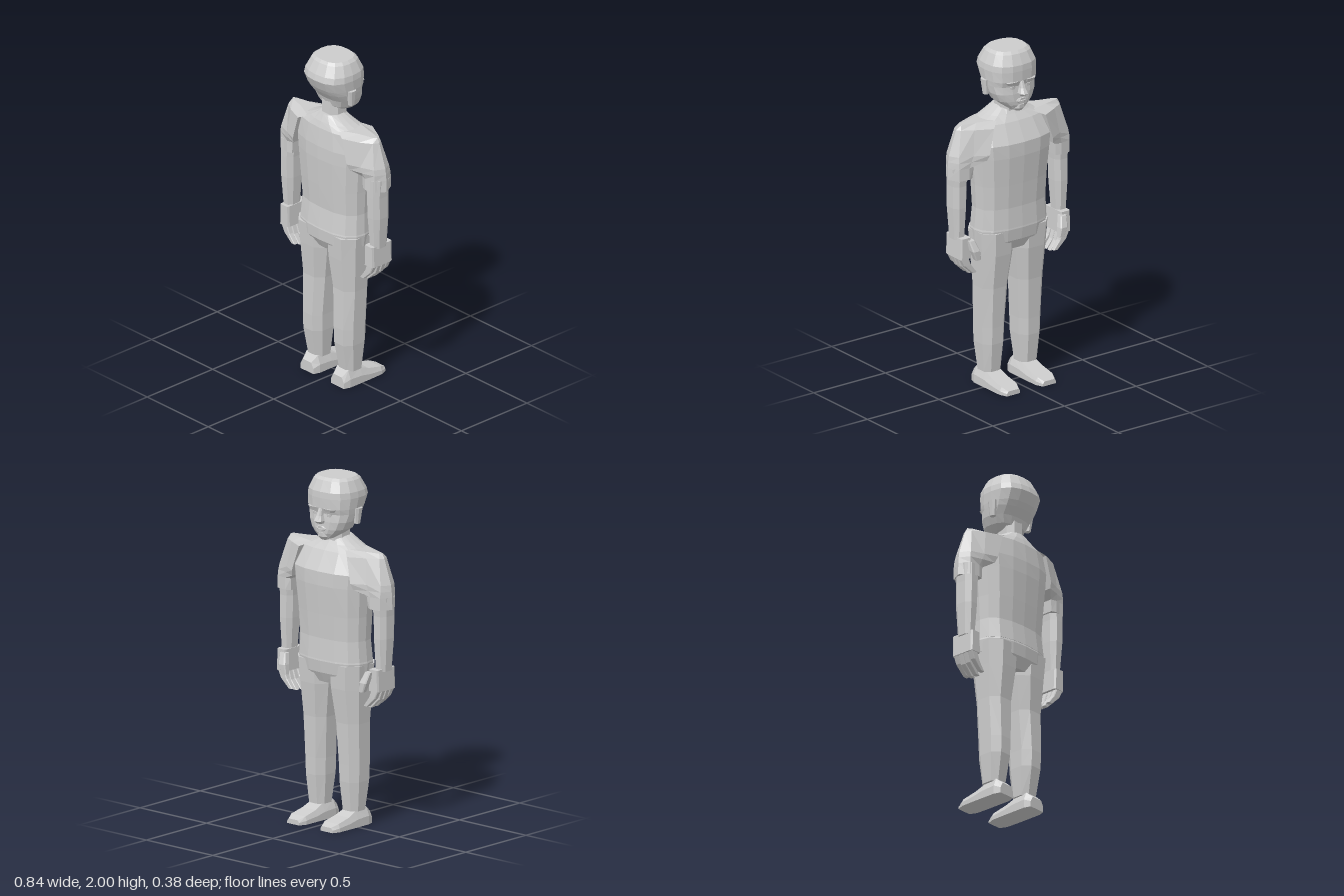
import * as THREE from 'three';

const grey = new THREE.MeshStandardMaterial({ color: 0xcccccc, flatShading: true });
grey.name = 'plain grey';

// Skin a stack of equal-length rings of [x, y, z], capped at both ends.
function loft(name, rings, mirror = 1) {
  const n = rings[0].length, tris = [];
  const mid = r => [0, 1, 2].map(k => r.reduce((s, p) => s + p[k], 0) / n);
  const first = rings[0], last = rings[rings.length - 1], a = mid(first), b = mid(last);
  for (let i = 0; i < n; i++) {
    const j = (i + 1) % n;
    for (let r = 0; r + 1 < rings.length; r++) {
      const p = rings[r], q = rings[r + 1];
      tris.push([p[i], p[j], q[j]], [p[i], q[j], q[i]]);
    }
    tris.push([a, first[j], first[i]], [b, last[i], last[j]]);
  }
  const pts = tris.map(t => t.map(p => new THREE.Vector3(p[0] * mirror, p[1], p[2])));
  // Signed volume decides the winding, so every solid faces outward
  const c = new THREE.Vector3(a[0] * mirror, a[1], a[2]);
  let volume = 0;
  for (const [p, q, r] of pts) {
    volume += p.clone().sub(c).dot(q.clone().sub(c).cross(r.clone().sub(c)));
  }
  if (volume < 0) pts.forEach(t => t.reverse());
  const geo = new THREE.BufferGeometry().setFromPoints(pts.flat());
  geo.computeVertexNormals();
  const mesh = new THREE.Mesh(geo, grey);
  mesh.name = name;
  return mesh;
}

// Rounded 16-sided section: half width w, front zf, back zb
const quarter = [[1, 0], [0.96, 0.4], [0.78, 0.76], [0.45, 0.95]];
function oval(y, w, zf, zb) {
  const ring = [];
  for (let k = 0; k < 4; k++) {
    for (let [u, v] of quarter) {
      for (let t = 0; t < k; t++) [u, v] = [-v, u];
      ring.push([u, v]);
    }
  }
  return ring.map(([u, v]) => [u * w, y, (zf + zb) / 2 + v * (zb - zf) / 2]);
}

// Box section with cut corners (c is the cut as a fraction of each side)
function oct(y, x0, x1, z0, z1, c = 0.25) {
  const dx = (x1 - x0) * c, dz = (z1 - z0) * c;
  return [[x0 + dx, z0], [x1 - dx, z0], [x1, z0 + dz], [x1, z1 - dz],
    [x1 - dx, z1], [x0 + dx, z1], [x0, z1 - dz], [x0, z0 + dz]].map(([x, z]) => [x, y, z]);
}

export function createModel() {
  const model = new THREE.Group();
  model.name = 'standingMan';
  const add = (...parts) => model.add(...parts);

  // Shirt, hips and neck
  add(loft('shirt', [
    oval(0.96, 0.235, -0.11, 0.16), oval(1.08, 0.228, -0.105, 0.145), oval(1.22, 0.235, -0.115, 0.155),
    oval(1.39, 0.25, -0.13, 0.165), oval(1.47, 0.26, -0.13, 0.165), oval(1.58, 0.225, -0.07, 0.153),
    oval(1.615, 0.14, -0.04, 0.14), oval(1.655, 0.065, -0.01, 0.12)]));
  add(loft('hips', [
    oval(0.99, 0.228, -0.105, 0.15), oval(0.95, 0.237, -0.11, 0.16),
    oval(0.88, 0.23, -0.1, 0.155), oval(0.82, 0.12, -0.07, 0.12)]));
  add(loft('neck', [oct(1.58, -0.065, 0.065, -0.025, 0.105), oct(1.78, -0.062, 0.062, -0.03, 0.1)]));

  // Head, from chin to flat crown
  add(loft('head', [
    oval(1.655, 0.045, -0.085, -0.02), oval(1.685, 0.085, -0.098, 0.06), oval(1.71, 0.115, -0.1, 0.095),
    oval(1.755, 0.138, -0.1, 0.11), oval(1.8, 0.148, -0.096, 0.145), oval(1.83, 0.152, -0.108, 0.165),
    oval(1.89, 0.157, -0.11, 0.192), oval(1.925, 0.153, -0.108, 0.183),
    oval(1.985, 0.125, -0.08, 0.15), oval(2, 0.108, -0.062, 0.135)]));

  // Face
  add(loft('nose', [
    oct(1.83, -0.012, 0.012, -0.112, -0.08), oct(1.79, -0.016, 0.016, -0.128, -0.08),
    oct(1.76, -0.026, 0.026, -0.145, -0.08), oct(1.745, -0.022, 0.022, -0.125, -0.08)]));
  add(loft('upperLip', [oct(1.715, -0.035, 0.035, -0.108, -0.08), oct(1.727, -0.02, 0.02, -0.11, -0.08)]));
  add(loft('lowerLip', [oct(1.697, -0.02, 0.02, -0.108, -0.08), oct(1.711, -0.032, 0.032, -0.109, -0.08)]));
  add(loft('chinBeard', [
    oct(1.645, -0.02, 0.02, -0.085, -0.05), oct(1.665, -0.035, 0.035, -0.102, -0.04),
    oct(1.688, -0.028, 0.028, -0.104, -0.05)]));

  for (const s of [1, -1]) {
    const side = s > 0 ? 'left' : 'right';
    const put = (name, rings) => add(loft(side + name, rings, s));

    put('Brow', [oct(1.815, 0.02, 0.088, -0.104, -0.06), oct(1.832, 0.015, 0.1, -0.112, -0.06)]);
    put('Eye', [oct(1.785, 0.035, 0.068, -0.095, -0.07), oct(1.802, 0.032, 0.072, -0.097, -0.07)]);
    put('Ear', [oct(1.74, 0.13, 0.158, 0.025, 0.06), oct(1.83, 0.13, 0.168, 0.018, 0.072)]);

    // Sleeve with a rounded shoulder
    const sleeve = (y, xs, zs) => xs.map((x, i) => [x, y, zs[i]]);
    put('Sleeve', [
      sleeve(1.6, [0.12, 0.24, 0.33, 0.345, 0.33, 0.24, 0.12], [-0.03, 0, 0.02, 0.03, 0.045, 0.07, 0.125]),
      sleeve(1.575, [0.18, 0.28, 0.345, 0.36, 0.345, 0.28, 0.18], [-0.085, -0.035, 0.005, 0.03, 0.065, 0.11, 0.148]),
      sleeve(1.43, [0.22, 0.30, 0.38, 0.41, 0.38, 0.30, 0.22], [-0.1, -0.055, -0.025, 0.03, 0.09, 0.12, 0.15]),
      sleeve(1.395, [0.23, 0.31, 0.385, 0.415, 0.385, 0.31, 0.23], [-0.085, -0.05, -0.03, 0.03, 0.09, 0.115, 0.135]),
      sleeve(1.36, [0.285, 0.32, 0.385, 0.418, 0.385, 0.32, 0.285], [-0.035, -0.045, -0.035, 0.03, 0.09, 0.1, 0.09]),
      sleeve(1.29, [0.29, 0.32, 0.385, 0.42, 0.385, 0.32, 0.29], [-0.03, -0.045, -0.035, 0.03, 0.09, 0.1, 0.09])]);

    // Arm and hand
    put('Arm', [
      oct(1.36, 0.295, 0.405, -0.035, 0.095), oct(1.25, 0.305, 0.4, -0.025, 0.095),
      oct(1.12, 0.308, 0.4, -0.025, 0.092), oct(0.93, 0.32, 0.388, -0.015, 0.078)]);
    put('Palm', [oct(0.945, 0.315, 0.378, -0.05, 0.1, 0.08), oct(0.82, 0.31, 0.382, -0.05, 0.1, 0.08)]);
    put('Thumb', [
      oct(0.93, 0.3, 0.34, -0.07, -0.03, 0.15), oct(0.87, 0.28, 0.33, -0.095, -0.05, 0.15),
      oct(0.815, 0.272, 0.308, -0.092, -0.06, 0.15)]);
    for (let f = 0; f < 4; f++) {
      const z = -0.045 + f * 0.036, drop = f === 0 || f === 3 ? 0.012 : 0;
      put('Finger' + (f + 1), [
        oct(0.83, 0.33, 0.38, z, z + 0.033, 0.12), oct(0.765 + drop, 0.308, 0.355, z, z + 0.031, 0.12),
        oct(0.712 + drop, 0.268, 0.298, z + 0.002, z + 0.028, 0.12)]);
    }

    // Trouser leg
    put('Leg', [
      oct(0.94, 0.005, 0.232, -0.095, 0.15), oct(0.8, 0.008, 0.222, -0.085, 0.14),
      oct(0.6, 0.035, 0.21, -0.06, 0.12), oct(0.36, 0.05, 0.203, -0.048, 0.125),
      oct(0.26, 0.053, 0.2, -0.045, 0.122), oct(0.09, 0.068, 0.185, -0.025, 0.092)]);

    // Shoe, built from heel to toe: z, half sole, half top, height
    put('Shoe', [
      [0.13, 0.052, 0.035, 0.065], [0.09, 0.065, 0.045, 0.1], [0, 0.065, 0.045, 0.09],
      [-0.06, 0.065, 0.05, 0.065], [-0.15, 0.063, 0.052, 0.045], [-0.193, 0.045, 0.035, 0.028],
    ].map(([z, w, t, h]) => [
      [-w, 0], [w, 0], [w, h * 0.5], [t, h], [-t, h], [-w, h * 0.5],
    ].map(([x, y]) => [0.125 + x, y, z])));
  }
  return model;
}
